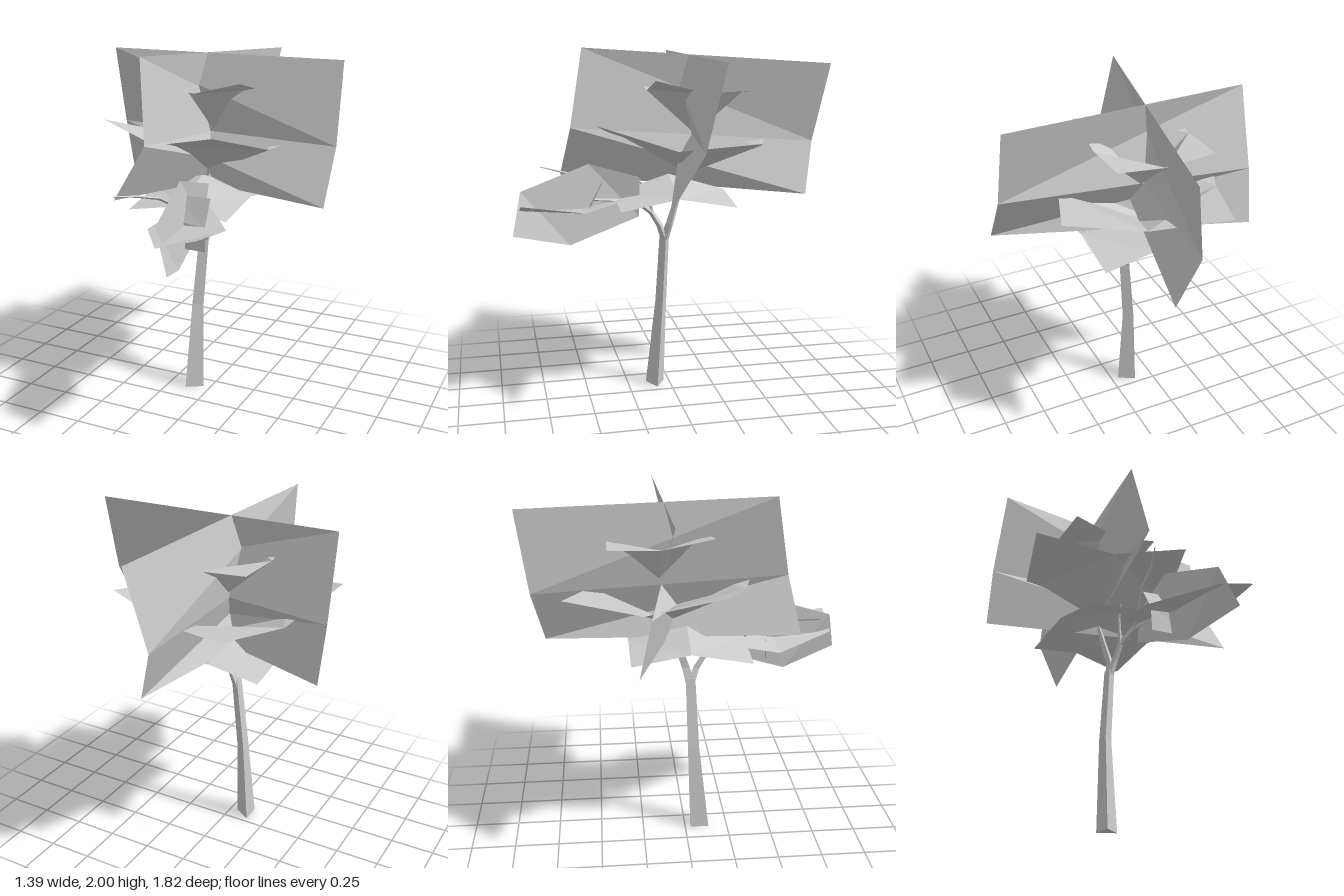
import * as THREE from 'three';

const material = new THREE.MeshStandardMaterial({ color: 0xcccccc, flatShading: true, side: THREE.DoubleSide });
const V = (p) => new THREE.Vector3(...p);

// Mesh from points and triangles, with one normal per face
function facets(name, points, triangles) {
  const indexed = new THREE.BufferGeometry().setFromPoints(points);
  indexed.setIndex(triangles.flat());
  const geometry = indexed.toNonIndexed();
  geometry.computeVertexNormals();
  const mesh = new THREE.Mesh(geometry, material);
  mesh.name = name;
  return mesh;
}

// Three-sided tapering limb through [x, y, z, radius] stations
function limb(name, stations) {
  const centres = stations.map((s) => V(s.slice(0, 3)));
  const points = [], triangles = [], last = stations.length - 1;
  centres.forEach((c, i) => {
    const t = centres[Math.min(i + 1, last)].clone().sub(centres[Math.max(i - 1, 0)]).normalize();
    if (i === 0 && c.y === 0) t.set(0, 1, 0);
    const u = new THREE.Vector3(1, 0, 0).addScaledVector(t, -t.x).normalize();
    const v = t.clone().cross(u);
    for (let k = 0; k < 3; k++) {
      const a = (k * Math.PI * 2) / 3;
      const r = stations[i][3];
      points.push(c.clone().addScaledVector(u, r * Math.cos(a)).addScaledVector(v, r * Math.sin(a)));
      if (i < last) {
        const a0 = i * 3 + k, a1 = i * 3 + ((k + 1) % 3);
        triangles.push([a0, a1, a1 + 3], [a0, a1 + 3, a0 + 3]);
      }
    }
  });
  triangles.push([0, 2, 1], [last * 3, last * 3 + 1, last * 3 + 2]);
  return facets(name, points, triangles);
}

// Folded leaf sheet: each row holds a left and a right point
function sheet(name, rows) {
  const triangles = [];
  for (let i = 0; i < rows.length - 1; i++) {
    const a = i * 2;
    triangles.push([a, a + 3, a + 1], [a, a + 2, a + 3]);
  }
  return facets(name, rows.flat().map(V), triangles);
}

// Square leaf canopy: corners and edge middles alternate around a raised or sunk centre
function canopy(name, centre, ring) {
  const triangles = [];
  for (let i = 0; i < 8; i += 2) {
    const before = (i + 7) % 8, after = i + 1;
    triangles.push([before, i, after], [before, after, 8]);
  }
  return facets(name, [...ring, centre].map(V), triangles);
}

export function createModel() {
  const tree = new THREE.Group();
  tree.name = 'tree';

  // Trunk, fork and twigs
  tree.add(
    limb('trunk', [[-0.105, 0, 0.085, 0.063], [-0.095, 0.52, 0.05, 0.038], [-0.06, 0.94, 0.035, 0.032]]),
    limb('upperTrunk', [[-0.06, 0.91, 0.035, 0.03], [-0.04, 1.0, 0.01, 0.025], [-0.06, 1.2, -0.055, 0.018], [-0.07, 1.29, -0.08, 0.012]]),
    limb('sideBranch', [[-0.06, 0.91, 0.035, 0.026], [-0.045, 1.0, 0.07, 0.02], [-0.04, 1.08, 0.12, 0.018],
      [-0.01, 1.145, 0.2, 0.016], [0.02, 1.165, 0.3, 0.012], [0.08, 1.19, 0.46, 0.008]]),
    limb('upperTwig', [[-0.04, 1.07, 0.115, 0.014], [-0.05, 1.16, 0.125, 0.011], [-0.07, 1.22, 0.15, 0.009], [-0.09, 1.28, 0.2, 0.005]]),
    limb('outerTwig', [[-0.01, 1.145, 0.2, 0.012], [-0.06, 1.19, 0.34, 0.01], [-0.12, 1.26, 0.45, 0.009],
      [-0.16, 1.305, 0.6, 0.007], [-0.23, 1.33, 0.73, 0.003]]),
  );

  // Two large upright crossing leaf sheets
  tree.add(
    sheet('wideLeafSheet', [
      [[-0.69, 1.96, -0.1], [0.68, 1.96, -0.13]],
      [[-0.7, 1.51, -0.215], [0.69, 1.52, -0.02]],
      [[-0.69, 1.2, -0.28], [0.69, 1.23, 0.16]],
    ]),
    sheet('deepLeafSheet', [
      [[-0.2, 2.0, 0.48], [0.03, 1.91, -0.91]],
      [[-0.14, 1.56, 0.56], [-0.05, 1.46, -0.84]],
      [[-0.3, 1.27, 0.61], [0.05, 1.165, -0.775]],
    ]),
  );

  // Stacked canopies of the crown
  tree.add(
    canopy('topCanopy', [-0.07, 1.52, -0.14], [
      [-0.35, 1.82, 0.135], [-0.07, 1.77, 0.135], [0.2, 1.84, 0.135], [0.2, 1.77, -0.14],
      [0.2, 1.78, -0.42], [-0.07, 1.75, -0.42], [-0.35, 1.77, -0.42], [-0.35, 1.765, -0.14],
    ]),
    canopy('middleCanopy', [-0.07, 1.29, -0.1], [
      [0.19, 1.61, 0.455], [0.335, 1.48, 0.04], [0.48, 1.53, -0.37], [0.07, 1.46, -0.5],
      [-0.34, 1.51, -0.66], [-0.48, 1.46, -0.24], [-0.625, 1.59, 0.165], [-0.215, 1.51, 0.32],
    ]),
    canopy('lowerCanopy', [-0.08, 1.29, 0.01], [
      [-0.37, 1.14, 0.345], [-0.08, 1.19, 0.335], [0.21, 1.14, 0.33], [0.22, 1.2, 0.01],
      [0.22, 1.14, -0.32], [-0.07, 1.19, -0.315], [-0.365, 1.14, -0.31], [-0.37, 1.2, 0.01],
    ]),
  );

  // Leaf sheets of the side branch
  tree.add(
    sheet('branchUprightSheet', [
      [[0.08, 1.25, 0.86], [0.165, 1.025, 0.91]],
      [[0.02, 1.38, 0.48], [0.065, 0.935, 0.595]],
      [[0.05, 1.3, 0.2], [0.02, 1.07, 0.2]],
    ]),
    sheet('branchFlatSheet', [
      [[0.08, 1.145, 0.87], [0.305, 1.215, 0.87]],
      [[-0.15, 1.11, 0.53], [0.305, 1.165, 0.53]],
      [[-0.11, 1.15, 0.24], [0.1, 1.19, 0.27]],
    ]),
    sheet('branchCrossSheet', [
      [[-0.07, 1.28, 0.39], [0.17, 1.29, 0.43]],
      [[-0.07, 1.16, 0.46], [0.17, 1.15, 0.5]],
      [[-0.07, 1.01, 0.47], [0.17, 1.02, 0.5]],
    ]),
  );

  return tree;
}
